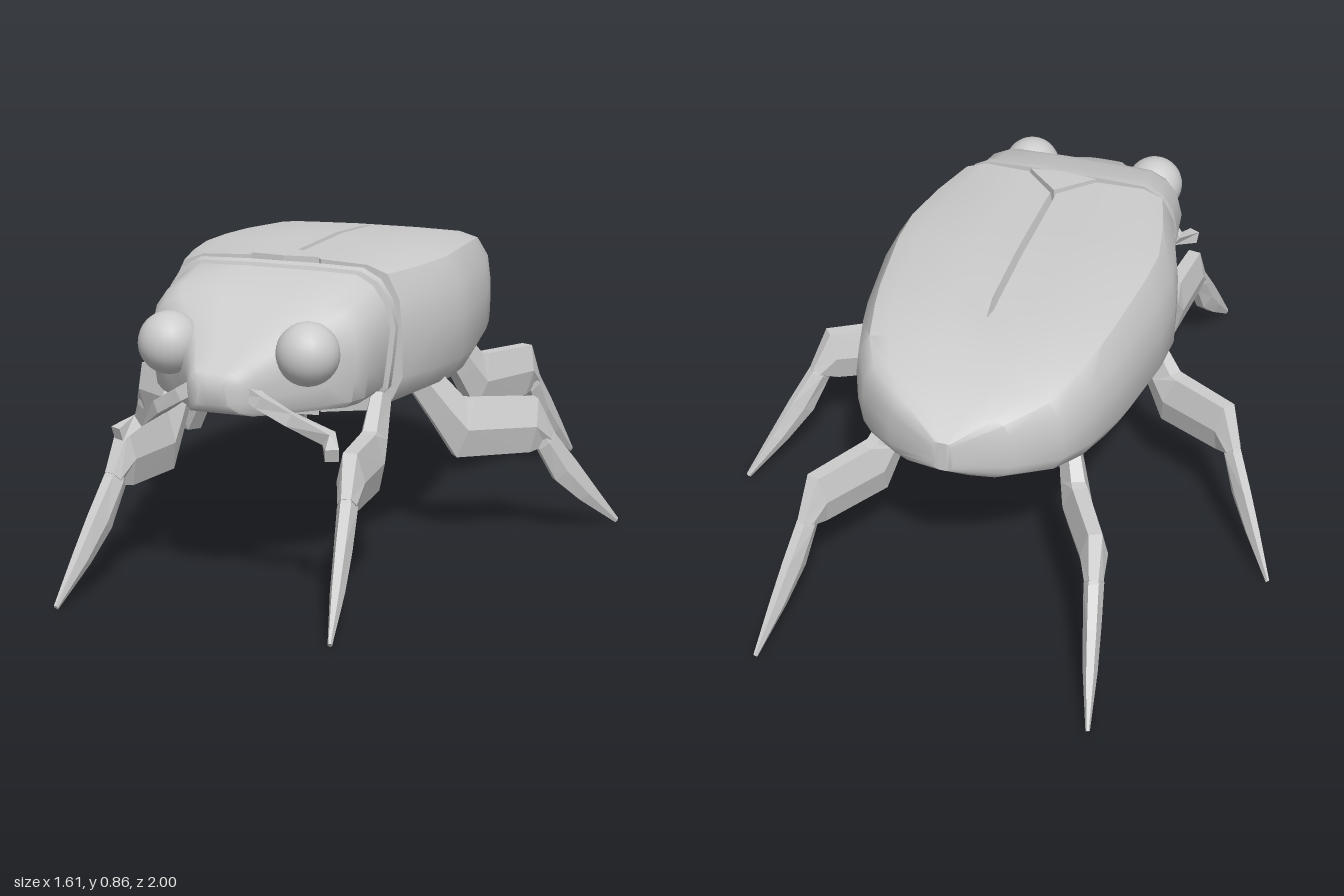
import * as THREE from 'three';
import { toCreasedNormals } from 'three/addons/utils/BufferGeometryUtils.js';

const V = (x, y, z) => new THREE.Vector3(x, y, z);

// Skin a list of equal-sized rings, cap both ends and face it outwards
function loft(rings, crease) {
  const n = rings[0].length, tris = [];
  const quad = (a, b, c, d) => {
    if (!a.equals(b) && !b.equals(c) && !c.equals(a)) tris.push([a, b, c]);
    if (!a.equals(c) && !c.equals(d) && !d.equals(a)) tris.push([a, c, d]);
  };
  for (let r = 0; r < rings.length - 1; r++) {
    const p = rings[r], q = rings[r + 1];
    for (let k = 0; k < n; k++) quad(p[k], q[k], q[(k + 1) % n], p[(k + 1) % n]);
  }
  const first = rings[0], last = rings[rings.length - 1];
  for (let k = 0; k < n / 2; k++) {
    const [a, b, c, d] = [k, k + 1, n - k - 1, (n - k) % n];
    quad(first[a], first[b], first[c], first[d]);
    quad(last[d], last[c], last[b], last[a]);
  }
  let volume = 0;
  for (const [a, b, c] of tris) volume += a.dot(b.clone().cross(c));
  const pts = tris.flatMap(([a, b, c]) => (volume < 0 ? [a, c, b] : [a, b, c]));
  const geo = new THREE.BufferGeometry().setFromPoints(pts);
  geo.computeVertexNormals();
  return crease ? toCreasedNormals(geo, crease) : geo;
}

// Full ring from quarter outlines: upper runs side to top centre, lower side to bottom centre
function section(upper, lower) {
  const flip = (list) => list.slice(0, -1).reverse().map(([x, y]) => [-x, y]);
  return [...upper, ...flip(upper), ...flip([...lower].reverse().slice(1).reverse().concat([[0, 0]])).reverse(),
    ...[...lower].reverse()];
}

const bodySection = section(
  [[1, 0.55], [0.97, 0.78], [0.87, 0.94], [0.7, 0.99], [0.3, 1], [0.025, 1], [0, 1]],
  [[1, 0.28], [0.92, 0.14], [0.72, 0.05], [0.3, 0], [0.025, 0], [0, 0]]);
const headSection = section(
  [[1, 0.55], [0.95, 0.76], [0.85, 0.91], [0.7, 0.99], [0.3, 1], [0, 1]],
  [[0.97, 0.28], [0.94, 0.06], [0.88, 0], [0.3, 0], [0, 0]]);

// z, half width, bottom, top
const bodyStations = [
  [0.345, 0.345, 0.42, 0.85], [0.2, 0.39, 0.42, 0.85], [0.05, 0.42, 0.42, 0.85], [-0.08, 0.415, 0.42, 0.85],
  [-0.3, 0.385, 0.44, 0.835], [-0.38, 0.368, 0.452, 0.825], [-0.5, 0.335, 0.475, 0.805],
  [-0.6, 0.28, 0.5, 0.77], [-0.69, 0.17, 0.535, 0.735], [-0.755, 0.03, 0.59, 0.68]];
const headStations = [
  [0.365, 0.34, 0.5, 0.845], [0.39, 0.34, 0.5, 0.84], [0.393, 0.325, 0.505, 0.83], [0.52, 0.32, 0.505, 0.8],
  [0.57, 0.3, 0.505, 0.775], [0.62, 0.24, 0.505, 0.745], [0.7, 0.15, 0.505, 0.69],
  [0.78, 0.1, 0.515, 0.65], [0.82, 0.075, 0.53, 0.63], [0.835, 0.045, 0.55, 0.605]];

// Upper edge (u, y), lower edge (u, y) and half thickness along a leg
const thighStations = [
  [0.075, 0.515, 0, 0.46, 0.03], [0.155, 0.425, 0.065, 0.36, 0.038], [0.18, 0.422, 0.13, 0.255, 0.042],
  [0.36, 0.42, 0.34, 0.262, 0.038], [0.42, 0.315, 0.39, 0.275, 0.026]];
const shinStations = [
  [0.4, 0.345, 0.355, 0.285, 0.02], [0.425, 0.305, 0.37, 0.265, 0.028], [0.5, 0.215, 0.43, 0.165, 0.025],
  [0.57, 0.125, 0.52, 0.09, 0.02], [0.66, 0.012, 0.65, 0, 0.006]];

// Hip and foot on the ground plan (x, z), with the sideways bow at the knee
const legs = [
  { name: 'frontLeg', hip: [0.29, 0.34], foot: [0.385, 1.0], bow: 0.015 },
  { name: 'middleLeg', hip: [0.29, 0.13], foot: [0.805, -0.285], bow: 0.065 },
  { name: 'backLeg', hip: [0.22, -0.36], foot: [0.475, -1.0], bow: 0.045 }];

function legPart(stations, { hip, foot, bow }, side) {
  const dx = (foot[0] - hip[0]) / 0.66, dz = (foot[1] - hip[1]) / 0.66, len = Math.hypot(dx, dz);
  const place = (u, y, t) => {
    const off = (t + bow * (u < 0.36 ? u / 0.36 : Math.max(0, (0.66 - u) / 0.3))) / len;
    return V(side * (hip[0] + dx * u - dz * off), y, hip[1] + dz * u + dx * off);
  };
  return loft(stations.map(([u1, y1, u2, y2, t]) => {
    const um = (u1 + u2) / 2, ym = (y1 + y2) / 2;
    return [place(u1, y1, t * 0.5), place(um, ym, t), place(u2, y2, t * 0.5),
      place(u2, y2, -t * 0.5), place(um, ym, -t), place(u1, y1, -t * 0.5)];
  }));
}

// Square bar through bent points, with mitred joints
function bentBar(points, r) {
  return loft(points.map((p, i) => {
    const dir = points[Math.min(i + 1, points.length - 1)].clone().sub(points[Math.max(i - 1, 0)]).normalize();
    const across = dir.clone().cross(V(0, 1, 0)).normalize();
    const up = across.clone().cross(dir);
    return [[1, 1], [-1, 1], [-1, -1], [1, -1]].map(([a, b]) =>
      p.clone().addScaledVector(across, a * r).addScaledVector(up, b * r));
  }));
}

export function createModel() {
  const model = new THREE.Group();
  const smooth = new THREE.MeshStandardMaterial({ color: 0xcccccc });
  const flat = new THREE.MeshStandardMaterial({ color: 0xcccccc, flatShading: true });
  const add = (name, geo, mat = smooth, parent = model) => {
    const mesh = new THREE.Mesh(geo, mat);
    mesh.name = name;
    parent.add(mesh);
    return mesh;
  };

  // Wing-case body: seam groove along the back, V notch at the front
  add('body', loft(bodyStations.map(([z, w, lo, hi], i) => bodySection.map(([x, y]) => {
    const groove = x === 0 && y === 1 && z > -0.37 ? 0.03 : 0;
    const notch = i === 0 ? Math.max(0, 0.115 - Math.abs(x * w)) : 0;
    return V(x * w, lo + y * (hi - lo) - groove, z - notch);
  })), 0.7));

  // Upright wedge filling the notch
  const wedge = new THREE.Shape([[0, -0.245], [-0.1, -0.34], [0, -0.352], [0.1, -0.34]]
    .map(([x, y]) => new THREE.Vector2(x, y)));
  const wedgeGeo = new THREE.ExtrudeGeometry(wedge, { depth: 0.445, bevelEnabled: false });
  add('backWedge', wedgeGeo.rotateX(-Math.PI / 2).translate(0, 0.412, 0), flat);

  // Head with collar
  add('head', loft(headStations.map(([z, w, lo, hi]) =>
    headSection.map(([x, y]) => V(x * w, lo + y * (hi - lo), z))), 0.7));

  // Paired parts
  for (const side of [1, -1]) {
    const label = side > 0 ? 'left' : 'right';
    add(label + 'Eye', new THREE.SphereGeometry(0.085, 24, 16).translate(side * 0.197, 0.665, 0.668));
    add(label + 'Antenna', bentBar([V(side * 0.07, 0.585, 0.78), V(side * 0.11, 0.56, 0.785),
      V(side * 0.18, 0.515, 0.765), V(side * 0.27, 0.455, 0.705), V(side * 0.305, 0.43, 0.775)], 0.018), flat);
    for (const leg of legs) {
      const group = new THREE.Group();
      group.name = label + leg.name[0].toUpperCase() + leg.name.slice(1);
      add('thigh', legPart(thighStations, leg, side), flat, group);
      add('shin', legPart(shinStations, leg, side), flat, group);
      model.add(group);
    }
  }
  return model;
}
